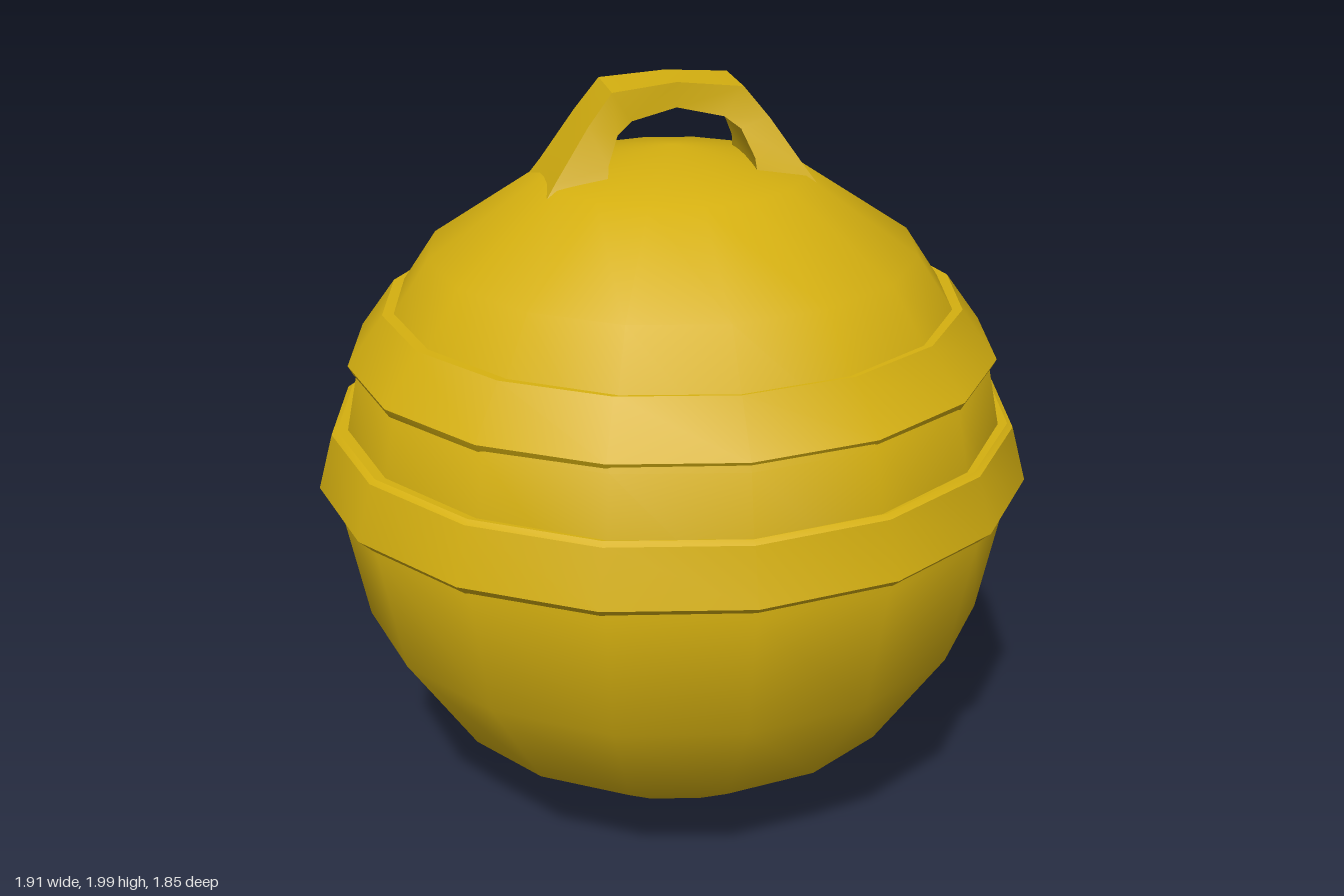
import * as THREE from 'three';
import { toCreasedNormals } from 'three/addons/utils/BufferGeometryUtils.js';

const SIDES = 16;
const gold = new THREE.MeshStandardMaterial({ color: 0xd4af10 });

function part(name, geometry) {
  const mesh = new THREE.Mesh(geometry, gold);
  mesh.name = name;
  return mesh;
}

// Raised band around the ball, slightly narrower in depth than in width
function band(name, profile) {
  const points = profile.map(([r, y]) => new THREE.Vector2(r, y));
  const geometry = new THREE.LatheGeometry(points, SIDES);
  geometry.scale(1, 1, 0.969);
  return part(name, toCreasedNormals(geometry, 0.45));
}

// Loop handle: rectangular sections swept from the left foot over to the right
function handle() {
  // outer x, outer y, inner x, inner y, front z, back z
  const half = [
    [0.35, 1.74, 0.195, 1.76, 0.13, -0.14],
    [0.325, 1.775, 0.19, 1.81, 0.115, -0.13],
    [0.235, 1.905, 0.16, 1.88, 0.085, -0.115],
    [0.17, 1.985, 0.12, 1.91, 0.068, -0.112],
  ];
  const top = [0, 2.0, 0, 1.935, 0.05, -0.095];
  const mirrored = half.map(([a, b, c, ...rest]) => [-a, b, -c, ...rest]);
  const sections = [...mirrored, top, ...half.slice().reverse()];

  const positions = [];
  for (const [ox, oy, ix, iy, front, back] of sections) {
    positions.push(ox, oy, front, ox, oy, back, ix, iy, back, ix, iy, front);
  }
  const index = [];
  for (let i = 0; i < sections.length - 1; i++) {
    for (let j = 0; j < 4; j++) {
      const a = i * 4 + j;
      const b = i * 4 + ((j + 1) % 4);
      index.push(a, a + 4, b + 4, a, b + 4, b);
    }
  }
  const geometry = new THREE.BufferGeometry();
  geometry.setAttribute('position', new THREE.Float32BufferAttribute(positions, 3));
  geometry.setIndex(index);
  return part('handle', toCreasedNormals(geometry, 0.7));
}

export function createModel() {
  const model = new THREE.Group();
  model.name = 'bell';

  // Round body
  const body = part('body', new THREE.SphereGeometry(0.91, SIDES, 8));
  body.position.y = 0.917;
  model.add(body);

  // Bands around the middle
  model.add(band('lowerBand', [
    [0.86, 0.915], [0.915, 0.915], [0.955, 0.952], [0.915, 1.1], [0.9, 1.11], [0.84, 1.11],
  ]));
  model.add(band('upperBand', [
    [0.8, 1.265], [0.85, 1.265], [0.862, 1.288], [0.766, 1.42], [0.7, 1.425],
  ]));

  model.add(handle());
  return model;
}
